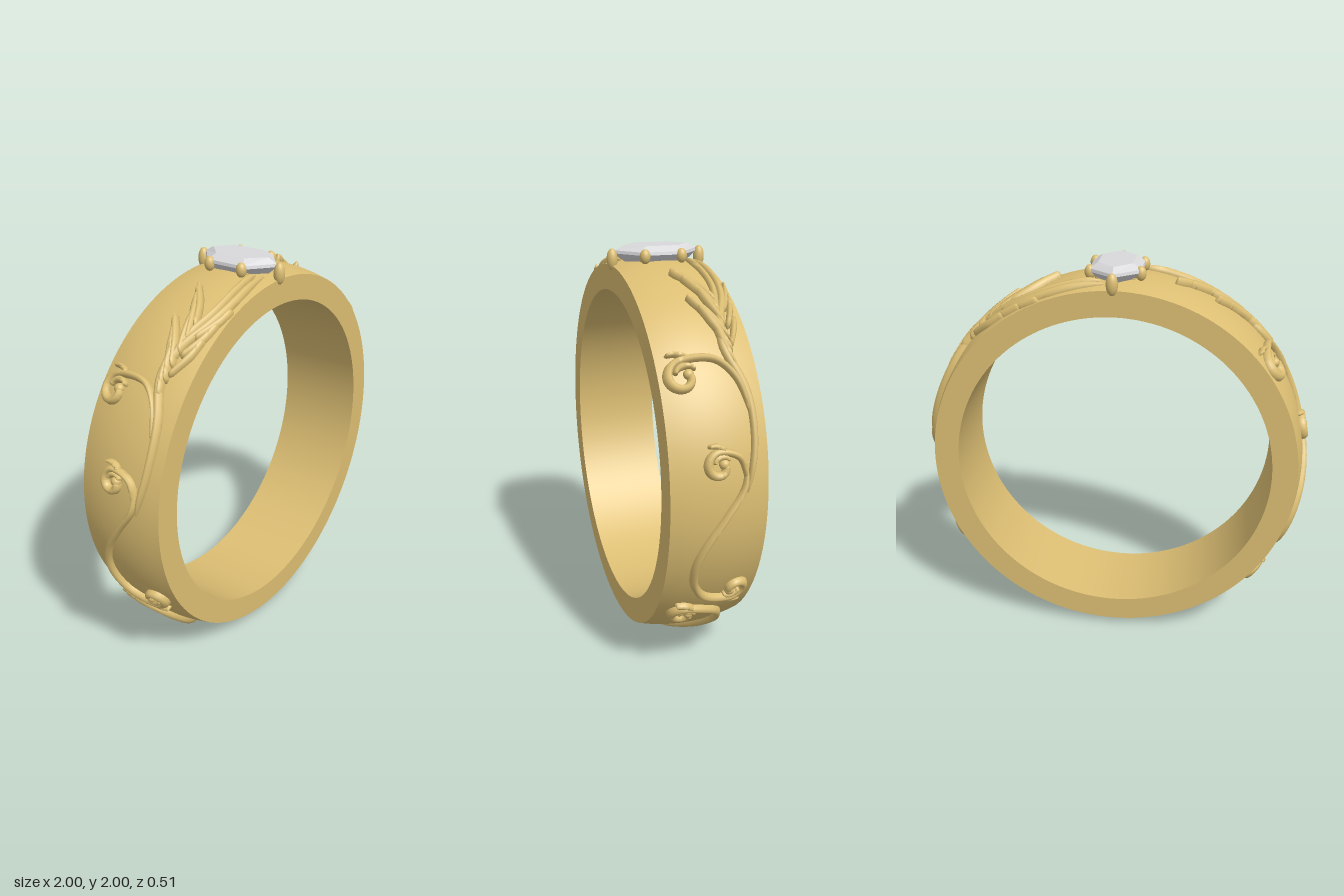
import * as THREE from 'three';
import { toCreasedNormals } from 'three/addons/utils/BufferGeometryUtils.js';

const CY = 0.968, INNER = 0.808, HALF = 0.23;
const mat = (name, color) => Object.assign(new THREE.MeshStandardMaterial({ color }), { name });

// outer radius of the slightly domed band at width position z
const outer = (z) => 0.967 - 0.032 * (z / HALF) ** 2;
// point on a circle of radius r, angle a measured from the top towards +x
const polar = (r, a, z) => new THREE.Vector3(r * Math.sin(a), CY + r * Math.cos(a), z);

// capped skin through equal-sized cross-section loops, always facing outwards
function loft(rings, crease) {
  const n = rings[0].length, tris = [];
  for (let i = 0; i + 1 < rings.length; i++) for (let j = 0; j < n; j++) {
    const k = (j + 1) % n, a = rings[i], b = rings[i + 1];
    tris.push([a[j], b[j], b[k]], [a[j], b[k], a[k]]);
  }
  [rings[0], rings[rings.length - 1]].forEach((r, e) => {
    const c = r.reduce((s, p) => s.add(p), new THREE.Vector3()).divideScalar(n);
    for (let j = 0; j < n; j++) {
      const k = (j + 1) % n;
      tris.push(e ? [c, r[k], r[j]] : [c, r[j], r[k]]);
    }
  });
  const o = rings[0][0], from = (p) => p.clone().sub(o);
  let volume = 0;
  for (const [a, b, c] of tris) volume += from(a).dot(from(b).cross(from(c)));
  const points = tris.flatMap(([a, b, c]) => volume > 0 ? [a, b, c] : [a, c, b]);
  return toCreasedNormals(new THREE.BufferGeometry().setFromPoints(points), crease);
}

// piece of the band between two angles, with width limits that may vary by angle
function bandPiece(a0, a1, steps, limits) {
  const rings = [];
  for (let i = 0; i <= steps; i++) {
    const a = a0 + (a1 - a0) * i / steps, [lo, hi] = limits(a), ring = [];
    for (let j = 0; j <= 12; j++) {
      const z = lo + (hi - lo) * j / 12;
      ring.push(polar(outer(z), a, z));
    }
    ring.push(polar(INNER, a, hi), polar(INNER, a, lo));
    rings.push(ring);
  }
  return loft(rings, 0.5);
}

// raised, tapering strand lying on the band; points are [degrees from top, z]
function strand(points, w0, w1, w2, height) {
  const curve = new THREE.CatmullRomCurve3(
    points.map(([a, z]) => new THREE.Vector3(THREE.MathUtils.degToRad(a) * 0.96, z, 0)), false, 'centripetal');
  const steps = points.length * 6, rings = [];
  for (let i = 0; i <= steps; i++) {
    const t = i / steps, p = curve.getPoint(t), d = curve.getTangent(t);
    const taper = t < 0.5 ? THREE.MathUtils.lerp(w0, w1, t * 2) : THREE.MathUtils.lerp(w1, w2, t * 2 - 1);
    const round = Math.sqrt(Math.min(1, 0.08 + Math.min(t, 1 - t) * 14));
    const w = taper * round, h = height * round, ring = [];
    for (let j = 0; j < 10; j++) {
      const f = j / 10 * Math.PI * 2, s = Math.cos(f) * w, up = Math.sin(f);
      const z = p.y + d.x * s;
      ring.push(polar(outer(z) + h * (up > 0 ? up : up * 0.4), (p.x - d.y * s) / 0.96, z));
    }
    rings.push(ring);
  }
  return loft(rings, 1.2);
}

// shrinking spiral round [degrees, z]; flip -1 turns it upside down
function spiral([a, z], flip, r0, r1, from, to, count) {
  return Array.from({ length: count }, (_, i) => {
    const t = i / (count - 1), f = from + (to - from) * t, r = flip * (r0 + (r1 - r0) * t);
    return [a - THREE.MathUtils.radToDeg(r * Math.cos(f) / 0.96), z + r * Math.sin(f)];
  });
}

// one side's scrollwork as [name, geometry] pairs
function scrollwork() {
  const parts = [];
  const lay = (name, points, w0, w1, w2, h) => parts.push([name, strand(points, w0, w1, w2, h)]);

  // stem ending in a curl, with an inner leaf and a tip leaf hugging the curl
  const scroll = (name, stem, centre, flip, r) => {
    const curl = spiral(centre, flip, r, r * 0.35, 0, 5.2, 9);
    lay(name + 'Scroll', [...stem, ...curl], 0.013, 0.022, 0.017, 0.033);
    lay(name + 'ScrollLeaf', spiral(centre, flip, r * 0.85, r * 0.45, -1.1, 1.1, 5), 0.01, 0.017, 0.01, 0.03);
    lay(name + 'ScrollTip', spiral(centre, flip, r * 1.15, r * 1.6, -0.4, 0.5, 4), 0.012, 0.014, 0.009, 0.03);
    const [a, z] = curl[8];
    const bead = new THREE.SphereGeometry(0.024, 16, 12);
    const p = polar(outer(z) + 0.008, THREE.MathUtils.degToRad(a), z);
    parts.push([name + 'ScrollBead', bead.translate(p.x, p.y, p.z)]);
  };
  scroll('upper', [[66, -0.16], [55.7, -0.115], [50.3, -0.03]], [54.6, 0.125], 1, 0.08);
  scroll('middle', [[84, -0.12], [76.5, -0.085]], [78.3, 0.012], 1, 0.063);
  scroll('lower', [[77.8, -0.115], [84.2, -0.105], [92, -0.02], [100, 0.065], [107.4, 0.105], [114.3, 0.095], [119.5, 0.035]],
    [118, -0.11], -1, 0.066);
  scroll('bottom', [[167, 0.125], [159, 0.02], [148.7, -0.065], [138, -0.105], [129.5, -0.055]], [130.3, 0.1], 1, 0.072);

  // two strands leaving the stone
  lay('upperStem', [[3, -0.17], [20, -0.19], [29, -0.17], [39, -0.11], [47, -0.09], [58, -0.15], [64, -0.165], [74, -0.16], [86, -0.12]],
    0.016, 0.022, 0.014, 0.03);
  lay('innerStem', [[4, -0.135], [24, -0.15], [34, -0.115], [47, -0.085]], 0.014, 0.018, 0.012, 0.028);

  // leaf fronds fanning away from the stem in two clusters, and along its outer edge
  for (let i = 0; i < 6; i++) {
    const a = 17 + 4.2 * i, z = 0.025 - 0.035 * (i % 3) - (i > 2 ? 0.015 : 0);
    lay('leafFrond', [[a + 15, -0.125], [a + 8, -0.077 + z * 0.3], [a + 2, z - 0.02], [a, z]], 0.012, 0.021, 0.012, 0.036);
  }
  for (let i = 0; i < 3; i++) {
    const a = 22 + 6 * i, z = -0.218 + 0.012 * i;
    lay('outerFrond', [[a + 13, z + 0.07], [a + 6, z + 0.02], [a, z]], 0.012, 0.016, 0.009, 0.028);
  }
  return parts;
}

export function createModel() {
  const model = new THREE.Group();
  model.name = 'ornateRing';
  const gold = mat('gold', 0xdcbe73), clear = mat('clearStone', 0xd9d9dc), blue = mat('blueStone', 0x0b54b4);
  const add = (parent, name, geo, m, p = [0, 0, 0], s = [1, 1, 1]) => {
    const mesh = new THREE.Mesh(geo, m);
    mesh.name = name;
    mesh.position.set(...p);
    mesh.scale.set(...s);
    parent.add(mesh);
    return mesh;
  };

  // band with a six-sided opening under the main stone
  const A = 0.105, hole = (a) => 0.16 - 0.08 * Math.abs(a) / A;
  add(model, 'band', bandPiece(A, Math.PI * 2 - A, 140, () => [-HALF, HALF]), gold);
  add(model, 'bandTopFront', bandPiece(-A, A, 8, (a) => [hole(a), HALF]), gold);
  add(model, 'bandTopBack', bandPiece(-A, A, 8, (a) => [-HALF, -hole(a)]), gold);

  // main stone: stretched hexagon in stepped layers
  const hexagon = (y, x, z) => [[0, z], [x, z / 2], [x, -z / 2], [0, -z], [-x, -z / 2], [-x, z / 2]]
    .map(([px, pz]) => new THREE.Vector3(px, y, pz));
  add(model, 'mainStone', loft([
    hexagon(1.85, 0.02, 0.04), hexagon(1.925, 0.095, 0.17), hexagon(1.96, 0.128, 0.212),
    hexagon(1.975, 0.125, 0.208), hexagon(2, 0.085, 0.165)], 0.05), clear);

  // prongs round the stone, with posts reaching down into the opening
  const ball = new THREE.SphereGeometry(1, 20, 14), post = new THREE.CylinderGeometry(0.02, 0.02, 0.14, 12);
  for (const sz of [-1, 1]) {
    add(model, 'endProng', ball, gold, [0, 1.932, sz * 0.226], [0.029, 0.054, 0.027]);
    for (const sx of [-1, 1]) {
      add(model, 'sideProng', ball, gold, [sx * 0.123, 1.955, sz * 0.093], [0.026, 0.036, 0.026]);
      add(model, 'prongPost', post, gold, [sx * 0.08, 1.87, sz * 0.085]);
    }
  }

  // small blue stones set into the inner wall
  const stone = toCreasedNormals(new THREE.CylinderGeometry(0.064, 0.035, 0.012, 12), 0.1);
  for (const s of [-1, 1]) {
    const a = s * 0.335, setting = new THREE.Group();
    setting.name = 'innerStoneSetting';
    setting.position.copy(polar(0.803, a, 0));
    setting.rotation.z = -a;
    add(setting, 'stoneRim', new THREE.TorusGeometry(0.067, 0.006, 8, 32), gold).rotation.x = Math.PI / 2;
    add(setting, 'blueStone', stone, blue);
    model.add(setting);
  }

  // the same scrollwork repeats after a half turn
  const parts = scrollwork();
  for (const turn of [0, Math.PI]) {
    const side = new THREE.Group();
    side.name = turn ? 'rightScrollwork' : 'leftScrollwork';
    side.rotation.y = turn;
    for (const [name, geo] of parts) add(side, name, geo, gold);
    model.add(side);
  }
  return model;
}
